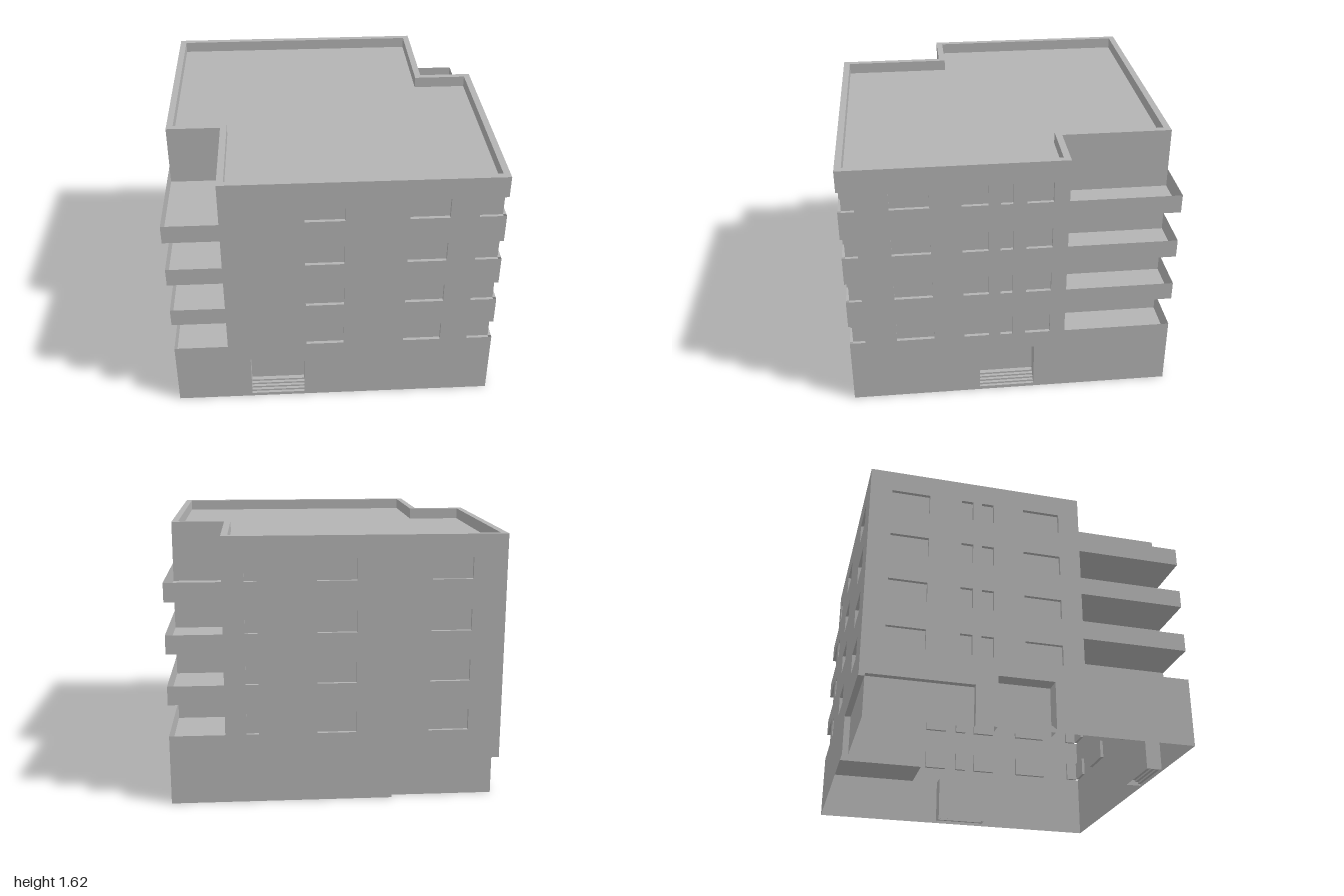
import * as THREE from 'three';
import { mergeGeometries } from 'three/addons/utils/BufferGeometryUtils.js';

const NOTCH = 0.667, SIDE = 0.333;       // balcony corner cut-outs
const DECK = 1.555, PARAPET = 0.07;      // roof deck and its rim
const STOREY = 0.31, ROWS = [0, 1, 2, 3];

const concrete = new THREE.MeshStandardMaterial({ color: 0xb3b3b3, side: THREE.DoubleSide });
concrete.name = 'concrete grey';

// Flat rectangle from a corner and two edge vectors; it faces a x b
function quad(o, a, b) {
  const g = new THREE.BufferGeometry();
  const at = (s, t) => o.map((v, i) => v + a[i] * s + b[i] * t);
  g.setAttribute('position', new THREE.Float32BufferAttribute(
    [at(0, 0), at(1, 0), at(1, 1), at(0, 1)].flat(), 3));
  g.setIndex([0, 1, 2, 0, 2, 3]);
  g.computeVertexNormals();
  return g;
}

function add(parent, name, geometries) {
  const mesh = new THREE.Mesh(mergeGeometries(geometries), concrete);
  mesh.name = name;
  parent.add(mesh);
}

// Lining of an opening in a wall at z = 1; sides lists the panels to build
function recess(u0, u1, y0, y1, depth, sides) {
  const w = u1 - u0, h = y1 - y0, z = 1 - depth;
  const panels = {
    back: () => quad([u0, y0, z], [w, 0, 0], [0, h, 0]),
    sill: () => quad([u0, y0, z], [0, 0, depth], [w, 0, 0]),
    head: () => quad([u0, y1, z], [w, 0, 0], [0, 0, depth]),
    low: () => quad([u0, y0, z], [0, h, 0], [0, 0, depth]),
    high: () => quad([u1, y0, z], [0, 0, depth], [0, h, 0]),
  };
  return sides.map((s) => panels[s]());
}

// Entrance niche with a short flight of steps
function entrance(u0, u1, y0, y1) {
  const parts = recess(u0, u1, y0, y1, 0.1, ['back', 'head', 'low', 'high']);
  const w = u1 - u0, rise = 0.012, tread = 0.018;
  for (let i = 0; i < 5; i++) {
    const z = 1 - i * tread, y = y0 + i * rise;
    const run = i === 4 ? z - 0.9 : tread;
    parts.push(quad([u0, y, z], [w, 0, 0], [0, rise, 0]));
    parts.push(quad([u0, y + rise, z - run], [0, 0, run], [w, 0, 0]));
  }
  return parts;
}

// One facade in local coordinates: u runs right, y up, outside is +z.
// corner: a cut wrapping round the building's edge at u = +1 or u = -1
function facade({ name, turn, from, to, windows, door, corner }) {
  const face = new THREE.Group();
  face.name = name;
  face.rotation.y = turn;

  // Wall outline, stepped in wherever a corner cut meets its edge
  const { edge, inner, cuts, depth, sides } = corner;
  const cutLine = cuts.flatMap(([a, b]) => [[edge, a], [inner, a], [inner, b], [edge, b]]);
  const pts = edge > 0
    ? [[from, 0], [to, 0], ...cutLine, [to, DECK], [from, DECK]]
    : [[from, 0], [to, 0], [to, DECK], [from, DECK], ...cutLine.reverse()];
  const unique = pts.filter((p, i) => {
    const q = pts[(i + 1) % pts.length];
    return p[0] !== q[0] || p[1] !== q[1];
  });
  const shape = new THREE.Shape(unique.map((p) => new THREE.Vector2(...p)));

  const linings = [];
  const hole = (u0, u1, y0, y1) => shape.holes.push(new THREE.Path(
    [[u0, y0], [u0, y1], [u1, y1], [u1, y0]].map((p) => new THREE.Vector2(...p))));
  for (const [u0, u1] of windows) {
    for (const i of ROWS) {
      const y0 = 0.43 + i * STOREY, y1 = y0 + 0.13;
      hole(u0, u1, y0, y1);
      linings.push(...recess(u0, u1, y0, y1, 0.022, ['back', 'sill', 'head', 'low', 'high']));
    }
  }
  if (door) {
    hole(door[0], door[1], 0.01, 0.317);
    add(face, 'entranceSteps', entrance(door[0], door[1], 0.01, 0.317));
  }
  const wall = new THREE.ShapeGeometry(shape);
  wall.translate(0, 0, 1);
  add(face, 'wall', [wall]);
  if (linings.length) add(face, 'windows', linings);

  // Corner cut lining, ending where it meets the next facade's lining
  const end = edge * (1 - depth);
  add(face, 'cornerRecess', cuts.flatMap(([a, b]) => recess(
    Math.min(inner, end), Math.max(inner, end), a, b, depth,
    [...sides, edge > 0 ? 'low' : 'high'])));

  // Thin balcony parapets in line with the wall
  const b0 = from > -1 ? -1 : to, b1 = from > -1 ? from : 1;
  add(face, 'balconyParapets', ROWS.map((i) => {
    const y0 = i ? 0.315 + i * STOREY : 0, y1 = 0.43 + i * STOREY;
    return quad([b0, y0, 1], [b1 - b0, 0, 0], [0, y1 - y0, 0]);
  }));
  return face;
}

// Balcony floors and the two house walls behind them
function balconyCorner(name, turn) {
  const g = new THREE.Group();
  g.name = name;
  g.rotation.y = turn;
  const w = 1 - NOTCH, d = 1 - SIDE, base = 0.315, h = DECK - base;
  add(g, 'balconyFloors', ROWS.map((i) =>
    quad([-1, base + i * STOREY, SIDE], [0, 0, d], [w, 0, 0])));
  add(g, 'balconyWalls', [
    quad([-1, base, SIDE], [w, 0, 0], [0, h, 0]),
    quad([-NOTCH, base, SIDE], [0, 0, d], [0, h, 0]),
  ]);
  return g;
}

// Stepped footprint, inset by t
function footprint(t) {
  const a = 1 - t, n = NOTCH - t, s = SIDE - t;
  return [[-n, -a], [a, -a], [a, s], [n, s], [n, a], [-a, a], [-a, -s], [-n, -s]]
    .map((p) => new THREE.Vector2(...p));
}

export function createModel() {
  const model = new THREE.Group();
  model.name = 'apartmentBlock';

  const windowCuts = ROWS.map((i) => [0.43 + i * STOREY, 0.56 + i * STOREY]);
  const windowCorner = { cuts: windowCuts, depth: 0.02, sides: ['back', 'sill', 'head'] };
  const baseCorner = { cuts: [[0, 0.245]], depth: 0.037, sides: ['back', 'head'] };

  model.add(
    facade({
      name: 'frontFacade', turn: 0, from: -NOTCH, to: 1,
      windows: [[-0.175, 0.06], [0.435, 0.67]], door: [-0.53, -0.19],
      corner: { ...windowCorner, edge: 1, inner: 0.84 },
    }),
    facade({
      name: 'leftFacade', turn: Math.PI / 2, from: -1, to: SIDE,
      windows: [[-0.71, -0.48], [-0.295, -0.14], [-0.07, 0.005], [0.085, 0.24]],
      door: [-0.2, 0.145],
      corner: { ...windowCorner, edge: -1, inner: -0.905 },
    }),
    facade({
      name: 'backFacade', turn: Math.PI, from: -NOTCH, to: 1,
      windows: [[-0.54, -0.465], [-0.115, 0.12], [0.56, 0.8]],
      corner: { ...baseCorner, edge: 1, inner: 0.34 },
    }),
    facade({
      name: 'rightFacade', turn: -Math.PI / 2, from: -1, to: SIDE,
      windows: [[-0.865, -0.63], [-0.43, -0.355], [-0.3, -0.225], [-0.035, 0.2]],
      door: [-0.2, 0.145],
      corner: { ...baseCorner, edge: -1, inner: -0.333 },
    }),
    balconyCorner('frontBalconies', 0),
    balconyCorner('backBalconies', Math.PI),
  );

  // Roof rim and sunken deck
  const ring = new THREE.Shape(footprint(0));
  ring.holes.push(new THREE.Path(footprint(0.04)));
  const rim = new THREE.ExtrudeGeometry(ring, { depth: PARAPET, bevelEnabled: false });
  const deck = new THREE.ShapeGeometry(new THREE.Shape(footprint(0.04)));
  for (const g of [rim, deck]) g.rotateX(-Math.PI / 2).translate(0, DECK, 0);
  add(model, 'roofParapet', [rim]);
  add(model, 'roofDeck', [deck]);
  return model;
}
